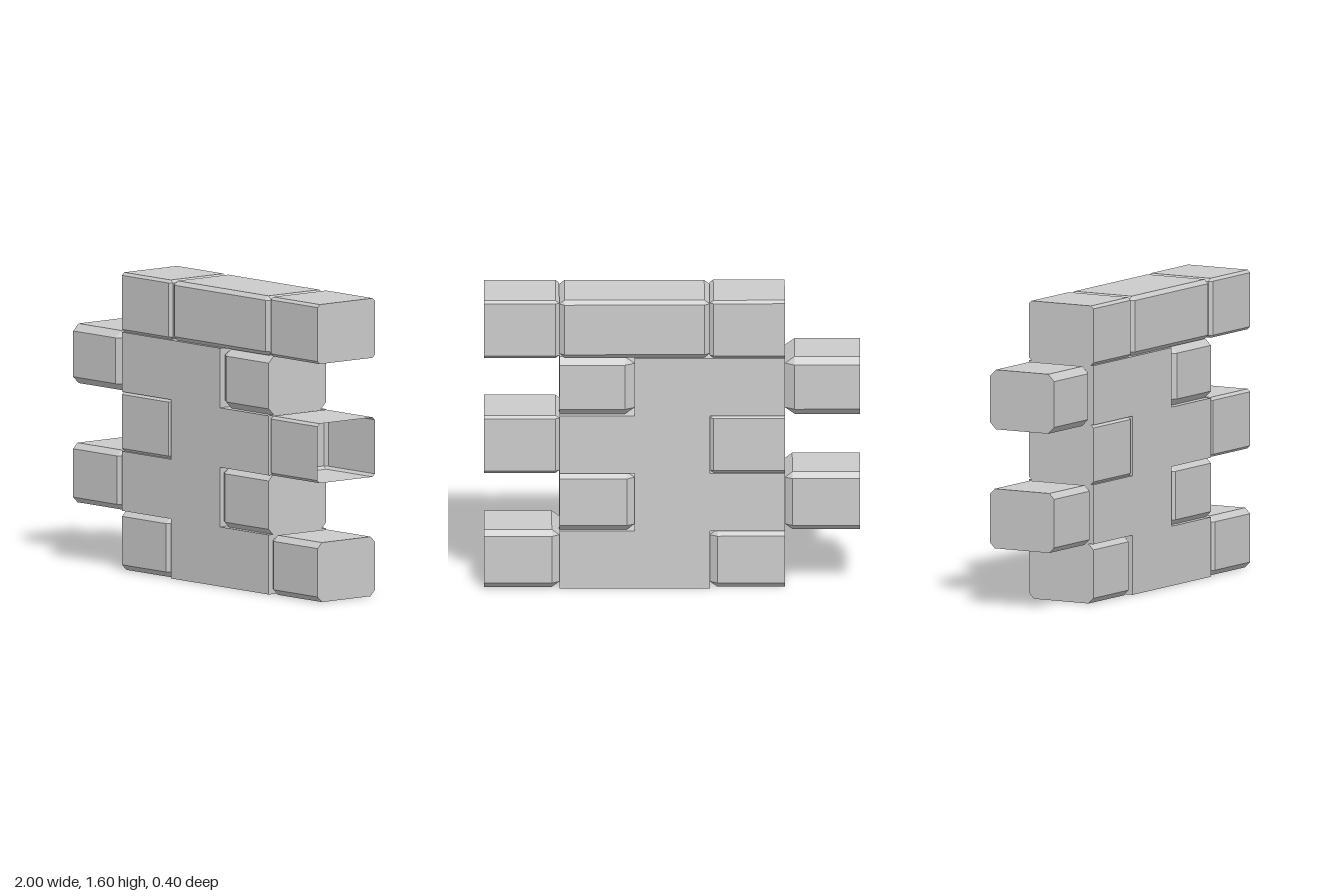
import * as THREE from 'three';

const ROW = 0.32;    // height of one course
const DEPTH = 0.2;   // half the wall thickness

// Cross-section of a brick in (y, z): bevelled octagon, or the inset rectangle of a tapered end
function ring(x, yMid, bevel, tapered) {
  const h = ROW / 2, hi = h - bevel, di = DEPTH - bevel;
  const y = tapered ? hi : h, z = tapered ? di : DEPTH;
  return [[y, -di], [y, di], [hi, z], [-hi, z], [-y, di], [-y, -di], [-hi, -z], [hi, -z]]
    .map(([py, pz]) => new THREE.Vector3(x, yMid + py, pz));
}

// Brick lofted along x; each end is tapered, flat or (right only) open
function brickGeometry({ x0, x1, row, bevel, taper, taperLeft, taperRight, open }) {
  const yMid = (row + 0.5) * ROW;
  const rings = [ring(x0, yMid, bevel, taperLeft)];
  if (taperLeft) rings.push(ring(x0 + taper, yMid, bevel, false));
  if (taperRight) rings.push(ring(x1 - taper, yMid, bevel, false));
  rings.push(ring(x1, yMid, bevel, taperRight));

  const points = [];
  for (let r = 0; r < rings.length - 1; r++) {
    const a = rings[r], b = rings[r + 1];
    for (let i = 0; i < 8; i++) {
      const j = (i + 1) % 8;
      points.push(a[i], a[j], b[i], a[j], b[j], b[i]);
    }
  }
  const first = rings[0], last = rings[rings.length - 1];
  for (let i = 1; i < 7; i++) {
    points.push(first[0], first[i + 1], first[i]);
    if (!open) points.push(last[0], last[i], last[i + 1]);
  }
  const geometry = new THREE.BufferGeometry().setFromPoints(points);
  geometry.computeVertexNormals();
  return geometry;
}

export function createModel() {
  const group = new THREE.Group();
  const grey = new THREE.MeshStandardMaterial({ color: 0xcccccc, flatShading: true });
  const greyOpen = grey.clone();
  greyOpen.side = THREE.DoubleSide;

  // Flat wall core, shifted sideways on alternate courses
  const right = [], left = [];
  for (let row = 0; row < 4; row++) {
    const [x0, x1] = row % 2 ? [-0.6, 0.2] : [-0.2, 0.6];
    for (const y of [row * ROW, (row + 1) * ROW]) {
      right.push(new THREE.Vector2(x1, y));
      left.unshift(new THREE.Vector2(x0, y));
    }
  }
  const coreGeometry = new THREE.ExtrudeGeometry(new THREE.Shape([...right, ...left]), {
    depth: DEPTH * 2, bevelEnabled: false,
  });
  coreGeometry.translate(0, 0, -DEPTH);
  const core = new THREE.Mesh(coreGeometry, grey);
  core.name = 'wallCore';
  group.add(core);

  function addBrick(name, options) {
    const mesh = new THREE.Mesh(brickGeometry(options), options.open ? greyOpen : grey);
    mesh.name = name;
    group.add(mesh);
  }

  // Two bevelled bricks per course, [bevel, taper length] for each course
  const courses = [[0.03, 0.04], [0.03, 0.04], [0.015, 0.02], [0.037, 0.052], [0.015, 0.02]];
  courses.forEach(([bevel, taper], row) => {
    const shift = row % 2 ? -0.4 : 0;
    addBrick(`rightEndBrick${row + 1}`,
      { x0: -0.6 + shift, x1: -0.2 + shift, row, bevel, taper, taperRight: true });
    addBrick(`leftEndBrick${row + 1}`,
      { x0: 0.6 + shift, x1: 1 + shift, row, bevel, taper, taperLeft: true, open: row === 2 });
  });

  // Long brick in the middle of the top course
  addBrick('topMiddleBrick',
    { x0: -0.2, x1: 0.6, row: 4, bevel: 0.022, taper: 0.028, taperLeft: true, taperRight: true });

  return group;
}
